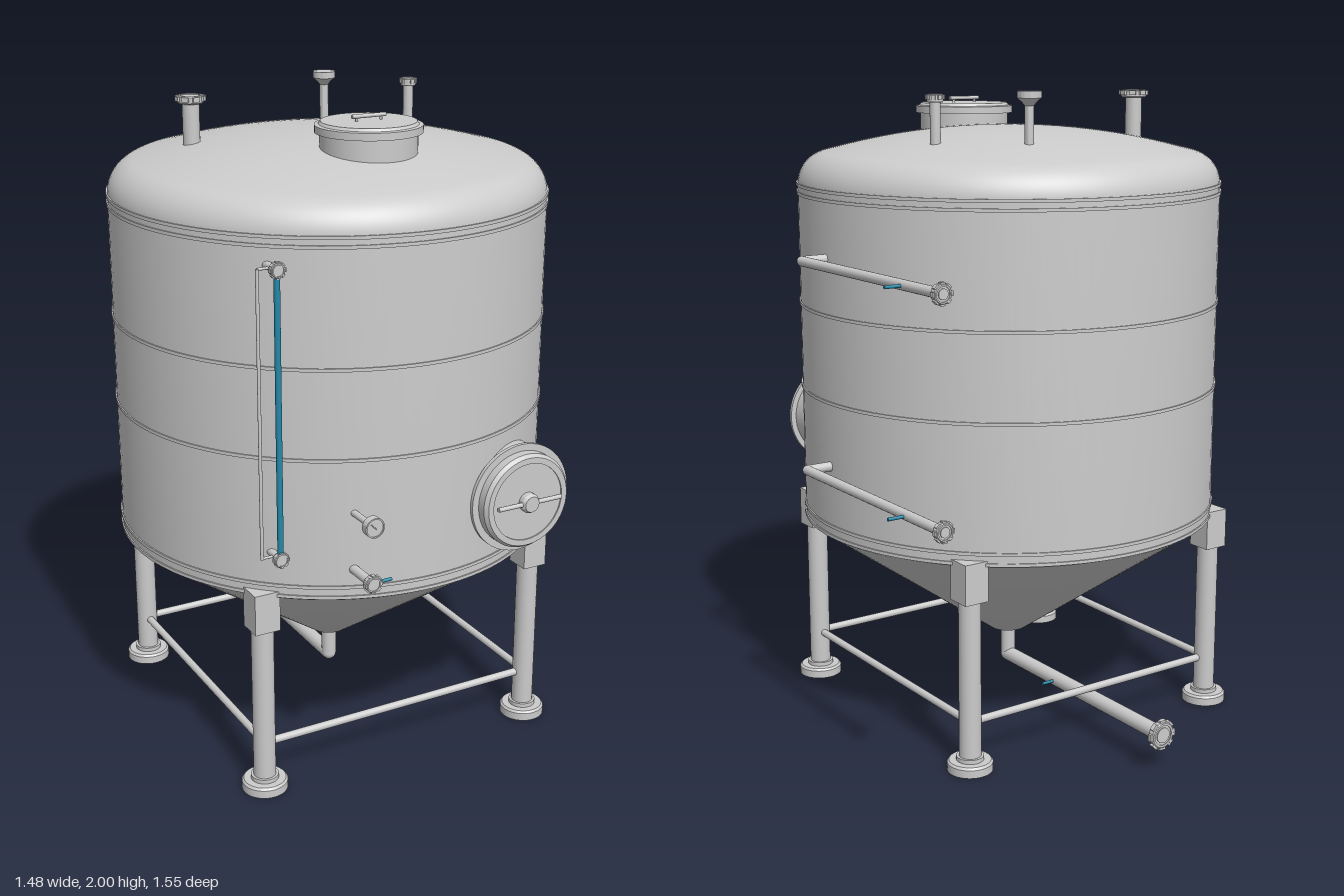
import * as THREE from 'three';
import { toCreasedNormals } from 'three/addons/utils/BufferGeometryUtils.js';

const grey = new THREE.MeshStandardMaterial({ color: 0xcccccc });
const blue = new THREE.MeshStandardMaterial({ color: 0x2488a8 });
const CX = -0.07, CZ = 0.035, R = 0.667; // vessel axis and radius

export function createModel() {
  const model = new THREE.Group();
  const V = (x, y, z) => new THREE.Vector3(x, y, z);

  function add(parent, name, geometry, pos = [0, 0, 0], material = grey) {
    const mesh = new THREE.Mesh(geometry, material);
    mesh.name = name;
    mesh.position.set(...pos);
    parent.add(mesh);
    return mesh;
  }
  function group(name, x = 0, y = 0, z = 0, parent = model) {
    const g = new THREE.Group();
    g.name = name;
    g.position.set(x, y, z);
    parent.add(g);
    return g;
  }
  // Turned part: profile of [radius, height] from bottom to top
  function turned(parent, name, profile, pos, segments = 40) {
    const points = profile.map(([r, y]) => new THREE.Vector2(r, y));
    return add(parent, name, toCreasedNormals(new THREE.LatheGeometry(points, segments), 0.5), pos);
  }
  // Round bar between two points
  function bar(parent, name, a, b, r, material = grey) {
    const mesh = add(parent, name, new THREE.CylinderGeometry(r, r, a.distanceTo(b), 20),
      a.clone().add(b).multiplyScalar(0.5).toArray(), material);
    mesh.quaternion.setFromUnitVectors(V(0, 1, 0), b.clone().sub(a).normalize());
    return mesh;
  }
  // Slotted union nut with its outer face at local y = 0
  function union(parent, r) {
    turned(parent, 'unionNut', [[0, -0.024], [r * 0.8, -0.024], [r * 0.88, -0.02], [r * 0.88, -0.003],
      [r * 0.8, 0], [r * 0.66, 0], [r * 0.66, -0.003], [0, -0.003]], [0, 0, 0], 32);
    for (let i = 0; i < 8; i++) {
      const a = (i / 8) * Math.PI * 2;
      const lug = add(parent, 'nutLug', new THREE.BoxGeometry(r * 0.16, 0.014, r * 0.45),
        [Math.cos(a) * r * 0.92, -0.009, Math.sin(a) * r * 0.92]);
      lug.rotation.y = -a;
    }
  }

  // Vessel: cone, wall and dished head (knuckle arc, then shallow crown)
  const profile = [[0, 0.215], [0.06, 0.215], [R - 0.012, 0.634], [R, 0.65], [R, 1.704]];
  const k = 0.105, crown = 2.2, tilt = 0.271;
  for (let i = 1; i <= 12; i++) {
    const a = (i / 12) * (Math.PI / 2 - tilt);
    profile.push([R - k + k * Math.cos(a), 1.704 + k * Math.sin(a)]);
  }
  for (let i = 1; i <= 14; i++) {
    const a = tilt * (1 - i / 14);
    profile.push([crown * Math.sin(a), 1.885 - crown * (1 - Math.cos(a))]);
  }
  turned(model, 'vessel', profile, [CX, 0, CZ], 96);

  // Weld bands
  for (const y of [0.648, 0.68, 1.07, 1.337, 1.682, 1.708])
    turned(model, 'weldBand', [[R - 0.005, -0.005], [R + 0.004, -0.005], [R + 0.004, 0.005], [R - 0.005, 0.005]],
      [CX, y, CZ], 96);

  // Legs with feet, brackets and braces
  const legs = [[1, 1], [1, -1], [-1, -1], [-1, 1]].map(([sx, sz]) => [CX + sx * 0.468, CZ + sz * 0.468]);
  legs.forEach(([x, z], i) => {
    const leg = group('leg', x, 0, z);
    turned(leg, 'foot', [[0, 0], [0.07, 0], [0.07, 0.025], [0.064, 0.032], [0, 0.032]], [0, 0, 0]);
    turned(leg, 'footCollar', [[0.042, 0.03], [0.042, 0.045], [0.034, 0.045]], [0, 0, 0]);
    bar(leg, 'legTube', V(0, 0.03, 0), V(0, 0.6, 0), 0.034);
    add(leg, 'bracket', new THREE.BoxGeometry(0.08, 0.125, 0.08), [0, 0.597, 0]);
    const [nx, nz] = legs[(i + 1) % 4];
    bar(model, 'brace', V(x, 0.15, z), V(nx, 0.15, nz), 0.012);
  });

  // Elbowed pipe with union and small valve handle
  function elbowPipe(name, start, corner, end, r, flange, handleZ) {
    const g = group(name);
    bar(g, 'pipe', start, corner, r);
    bar(g, 'pipe', corner, end, r);
    add(g, 'elbow', new THREE.SphereGeometry(r, 20, 12), corner.toArray());
    const u = group('union', end.x, end.y, end.z, g);
    u.rotation.x = -Math.PI / 2;
    union(u, flange);
    bar(g, 'valveHandle', V(corner.x, corner.y, handleZ), V(corner.x + 0.064, corner.y, handleZ), 0.005, blue);
  }
  elbowPipe('outletPipe', V(CX, 0.23, CZ), V(CX, 0.113, CZ), V(CX, 0.113, -0.775), 0.024, 0.047, -0.25);
  for (const y of [0.87, 1.508])
    elbowPipe('sidePipe', V(0.57, y, CZ), V(0.675, y, CZ), V(0.675, y, -0.735), 0.015, 0.031, -0.545);

  // Top nozzles and mushroom vent
  for (const [x, r, flange] of [[-0.445, 0.026, 0.046], [0.307, 0.016, 0.028]]) {
    const nozzle = group('topNozzle', x, 1.99, -0.125);
    bar(nozzle, 'nozzlePipe', V(0, -0.19, 0), V(0, -0.01, 0), r);
    union(nozzle, flange);
  }
  turned(model, 'vent', [[0.014, 1.8], [0.014, 1.958], [0.022, 1.968], [0.036, 1.98], [0.036, 2], [0, 2]],
    [0.107, 0, -0.32]);

  // Top hatch
  const hatch = group('topHatch', CX, 0, 0.29);
  turned(hatch, 'hatchNeck', [[0.143, 1.78], [0.143, 1.914], [0.158, 1.914], [0.158, 1.936],
    [0.146, 1.938], [0.14, 1.946], [0, 1.946]], [0, 0, 0], 64);
  bar(hatch, 'hatchHandle', V(-0.055, 1.96, 0), V(0.055, 1.96, 0), 0.006);
  for (const x of [-0.04, 0.04]) bar(hatch, 'handlePost', V(x, 1.94, 0), V(x, 1.96, 0), 0.004);

  // Front manway, turned so local y points forward
  const manway = group('manway', 0.22, 0.868, 0);
  manway.rotation.x = Math.PI / 2;
  turned(manway, 'manwayBody', [[0.15, 0.48], [0.15, 0.69], [0.168, 0.69], [0.168, 0.702], [0.147, 0.702],
    [0.147, 0.73], [0.138, 0.742], [0.12, 0.742], [0.12, 0.738], [0, 0.738]], [0, 0, 0], 64);
  turned(manway, 'handHub', [[0.03, 0.735], [0.03, 0.755], [0.024, 0.765], [0, 0.765]], [0, 0, 0]);
  bar(manway, 'handBar', V(-0.11, 0.752, 0), V(0.11, 0.752, 0), 0.007);

  // Thermometer
  const dial = group('thermometer', -0.315, 0.91, 0);
  dial.rotation.x = Math.PI / 2;
  turned(dial, 'dial', [[0.01, 0.6], [0.01, 0.752], [0.03, 0.752], [0.03, 0.775], [0.026, 0.775],
    [0.026, 0.772], [0, 0.772]], [0, 0, 0]);
  bar(dial, 'needle', V(0.004, 0.773, 0.004), V(-0.012, 0.773, -0.012), 0.0015);

  // Sample tap
  const tap = group('sampleTap', -0.315, 0.735, 0.772);
  tap.rotation.x = Math.PI / 2;
  bar(tap, 'tapPipe', V(0, -0.18, 0), V(0, -0.01, 0), 0.014);
  union(tap, 0.028);
  bar(tap, 'tapHandle', V(0, -0.014, 0), V(0.063, -0.014, 0), 0.005, blue);

  // Level gauge with guard rods
  const gauge = group('levelGauge', -0.515, 0, 0);
  for (const y of [0.782, 1.628]) {
    const end = group('gaugeFitting', 0, y, 0.598, gauge);
    end.rotation.x = Math.PI / 2;
    bar(end, 'fittingPipe', V(0, -0.13, 0), V(0, -0.01, 0), 0.012);
    union(end, 0.024);
    bar(gauge, 'guardTie', V(-0.044, y, 0.555), V(0.036, y, 0.555), 0.004);
  }
  bar(gauge, 'sightTube', V(0, 0.79, 0.585), V(0, 1.62, 0.585), 0.009, blue);
  for (const x of [-0.044, 0.036]) bar(gauge, 'guardRod', V(x, 0.778, 0.555), V(x, 1.628, 0.555), 0.005);

  return model;
}
